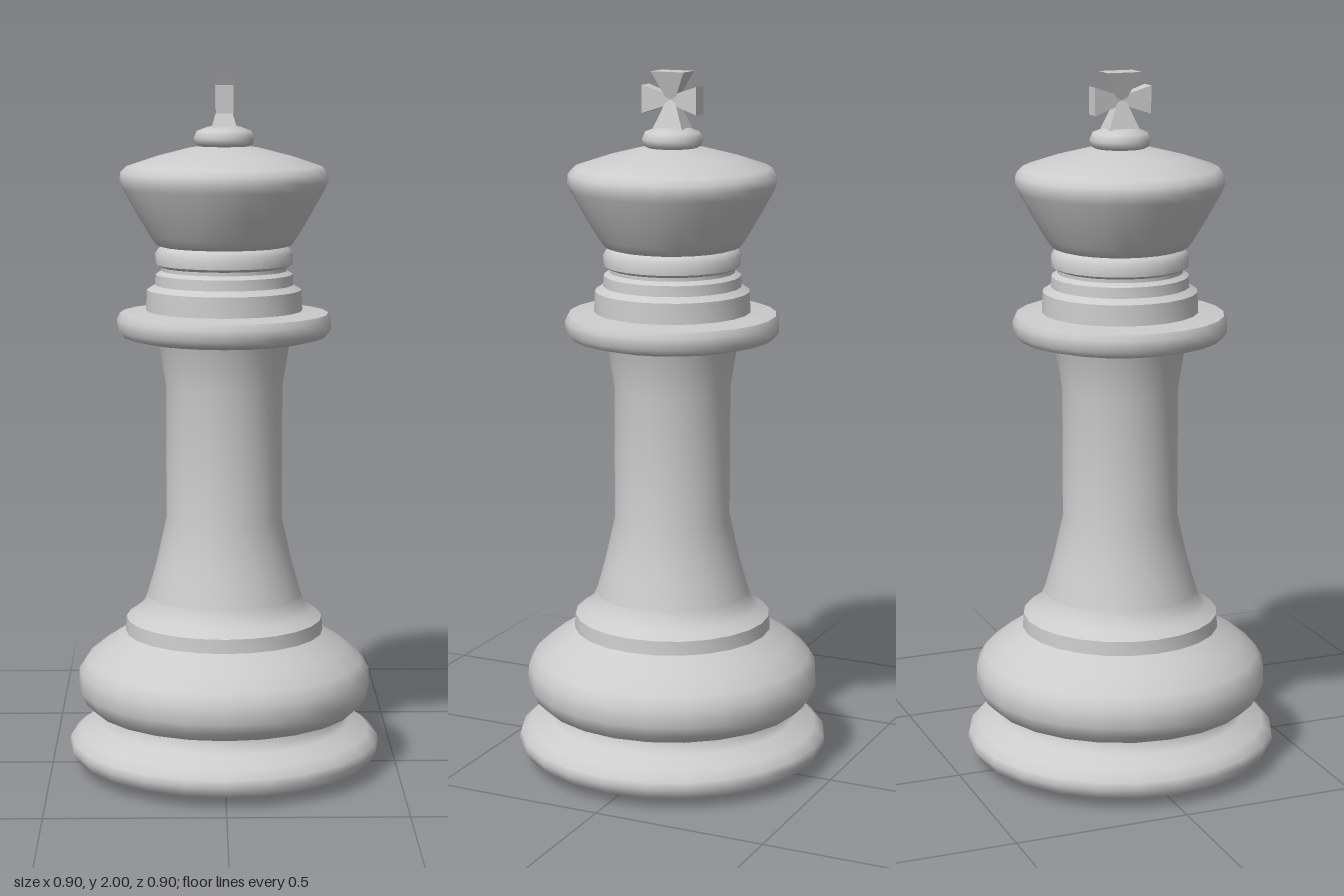
import * as THREE from 'three';
import { toCreasedNormals } from 'three/addons/utils/BufferGeometryUtils.js';

const SIDES = 24;
const material = new THREE.MeshStandardMaterial({ color: 0xcccccc, side: THREE.DoubleSide });

// Turned part from a bottom-to-top list of [radius, height]
function turned(name, profile) {
  const points = profile.map(([r, y]) => new THREE.Vector2(r, y));
  const geometry = toCreasedNormals(new THREE.LatheGeometry(points, SIDES), 0.85);
  const mesh = new THREE.Mesh(geometry, material);
  mesh.name = name;
  return mesh;
}

// Flared arm of the cross: square neck at the origin, rectangular end at +y
function crossArm(name, length, endX, endZ, angle) {
  const geometry = new THREE.CylinderGeometry(Math.SQRT2, 0.012 * Math.SQRT2, length, 4);
  geometry.rotateY(Math.PI / 4).translate(0, length / 2, 0);
  const pos = geometry.attributes.position;
  for (let i = 0; i < pos.count; i++) {
    if (pos.getY(i) > length / 2) {
      pos.setX(i, pos.getX(i) * endX);
      pos.setZ(i, pos.getZ(i) * endZ);
    }
  }
  const mesh = new THREE.Mesh(toCreasedNormals(geometry, 0.5), material);
  mesh.name = name;
  mesh.rotation.x = angle;
  return mesh;
}

export function createModel() {
  const model = new THREE.Group();
  model.name = 'chessKing';

  // Foot, belly and shoulder
  model.add(turned('foot', [
    [0, 0], [0.31, 0], [0.31, 0.014], [0.39, 0.02], [0.435, 0.035], [0.45, 0.065],
    [0.445, 0.085], [0.42, 0.108], [0.36, 0.132], [0.345, 0.145], [0.34, 0.17]
  ]));
  model.add(turned('belly', [
    [0.34, 0.17], [0.385, 0.18], [0.41, 0.205], [0.422, 0.235], [0.42, 0.285],
    [0.4, 0.317], [0.35, 0.357], [0.285, 0.4]
  ]));
  model.add(turned('shoulder', [
    [0.285, 0.4], [0.282, 0.44], [0.25, 0.462], [0.232, 0.48], [0.222, 0.505]
  ]));

  // Tapering stem
  model.add(turned('stem', [
    [0.222, 0.505], [0.195, 0.6], [0.166, 0.73], [0.166, 1.11], [0.187, 1.24], [0.195, 1.26]
  ]));

  // Wide collar and the rings above it
  model.add(turned('collar', [
    [0.187, 1.24], [0.245, 1.246], [0.29, 1.258], [0.304, 1.275], [0.304, 1.305],
    [0.295, 1.322], [0.22, 1.33]
  ]));
  model.add(turned('neckRings', [
    [0.222, 1.328], [0.219, 1.388], [0.196, 1.402], [0.194, 1.432], [0.178, 1.442],
    [0.178, 1.452], [0.193, 1.46], [0.195, 1.49], [0.185, 1.505], [0.175, 1.512]
  ]));

  // Crown bowl with domed lid
  model.add(turned('crown', [
    [0.175, 1.51], [0.192, 1.515], [0.21, 1.54], [0.245, 1.6], [0.285, 1.672], [0.294, 1.695],
    [0.292, 1.718], [0.275, 1.735], [0.19, 1.763], [0.1, 1.786], [0.06, 1.792]
  ]));
  model.add(turned('knob', [
    [0.06, 1.785], [0.08, 1.795], [0.086, 1.813], [0.077, 1.833], [0.045, 1.845], [0, 1.848]
  ]));

  // Cross with four flared arms
  const cross = new THREE.Group();
  cross.name = 'cross';
  cross.position.y = 1.922;
  cross.add(crossArm('topArm', 0.078, 0.035, 0.05, 0));
  cross.add(crossArm('bottomArm', 0.08, 0.035, 0.045, Math.PI));
  cross.add(crossArm('frontArm', 0.083, 0.024, 0.039, Math.PI / 2));
  cross.add(crossArm('backArm', 0.083, 0.024, 0.039, -Math.PI / 2));
  model.add(cross);

  return model;
}
